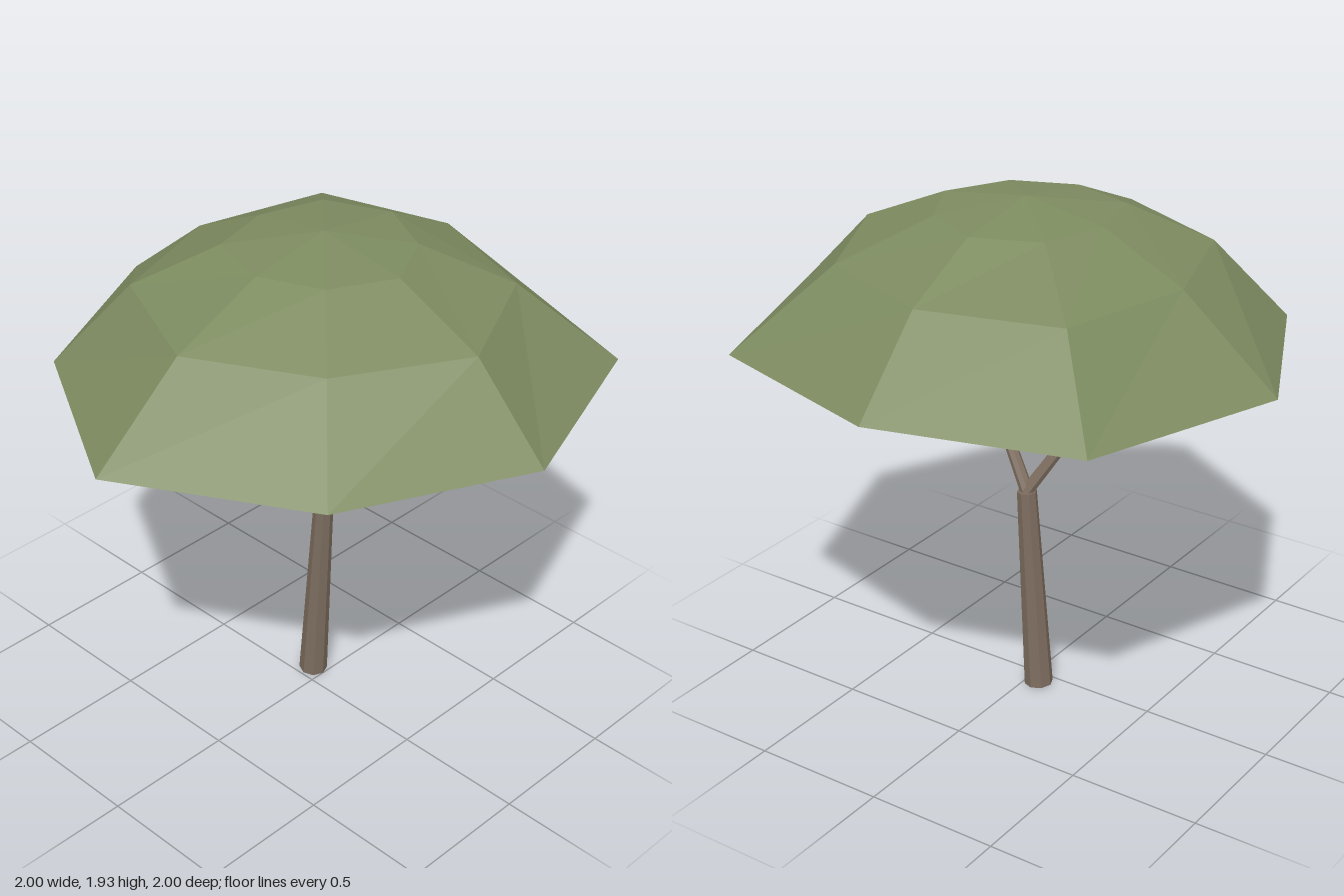
import * as THREE from 'three';

const leafGreen = new THREE.MeshStandardMaterial({ color: 0x7d8b60, flatShading: true });
leafGreen.name = 'leafGreen';
const barkBrown = new THREE.MeshStandardMaterial({ color: 0x7c6c5e, flatShading: true });
barkBrown.name = 'barkBrown';

// Tapered limb between two points
function limb(name, from, to, r0, r1) {
  const a = new THREE.Vector3(...from), b = new THREE.Vector3(...to);
  const dir = b.clone().sub(a);
  const mesh = new THREE.Mesh(new THREE.CylinderGeometry(r1, r0, dir.length(), 8), barkBrown);
  mesh.position.copy(a).add(b).multiplyScalar(0.5);
  mesh.quaternion.setFromUnitVectors(new THREE.Vector3(0, 1, 0), dir.normalize());
  mesh.name = name;
  return mesh;
}

// Faceted dome: irregular eight-sided rings, closed by an apex and a flat underside
function canopy() {
  const n = 8, cz = -0.06;
  // radii run from +x towards +z in 45 degree steps
  const rings = [
    { y: 1.42, r: [1.0, 0.953, 1.055, 0.953, 1.0, 1.04, 0.94, 1.04] },
    { y: 1.725, r: [0.7, 0.63, 0.685, 0.67, 0.63, 0.71, 0.645, 0.665] },
    { y: 1.88, r: [0.35, 0.325, 0.325, 0.355, 0.315, 0.34, 0.34, 0.32] },
  ];
  const pos = [], index = [];
  for (const { y, r } of rings)
    r.forEach((d, i) => {
      const t = (i / n) * Math.PI * 2;
      pos.push(d * Math.cos(t), y, cz + d * Math.sin(t));
    });
  const apex = rings.length * n, base = apex + 1;
  pos.push(0, 1.93, cz, 0, 1.42, cz);
  for (let i = 0; i < n; i++) {
    const j = (i + 1) % n;
    for (let k = 0; k < rings.length - 1; k++) {
      const a = k * n + i, b = k * n + j;
      index.push(a, a + n, b, b, a + n, b + n);
    }
    index.push(apex - n + i, apex, apex - n + j);
    index.push(base, i, j);
  }
  const indexed = new THREE.BufferGeometry();
  indexed.setAttribute('position', new THREE.Float32BufferAttribute(pos, 3));
  indexed.setIndex(index);
  const geo = indexed.toNonIndexed();
  geo.computeVertexNormals();
  const mesh = new THREE.Mesh(geo, leafGreen);
  mesh.name = 'canopy';
  return mesh;
}

export function createModel() {
  const tree = new THREE.Group();
  tree.name = 'tree';
  const fork = [0, 0.8, -0.06];
  tree.add(
    limb('trunk', [-0.053, 0.003, -0.06], fork, 0.054, 0.037),
    limb('leftBranch', fork, [0.365, 1.345, 0.08], 0.025, 0.016),
    limb('rightBranch', fork, [-0.305, 1.345, 0.2], 0.025, 0.016),
    canopy(),
  );
  return tree;
}
